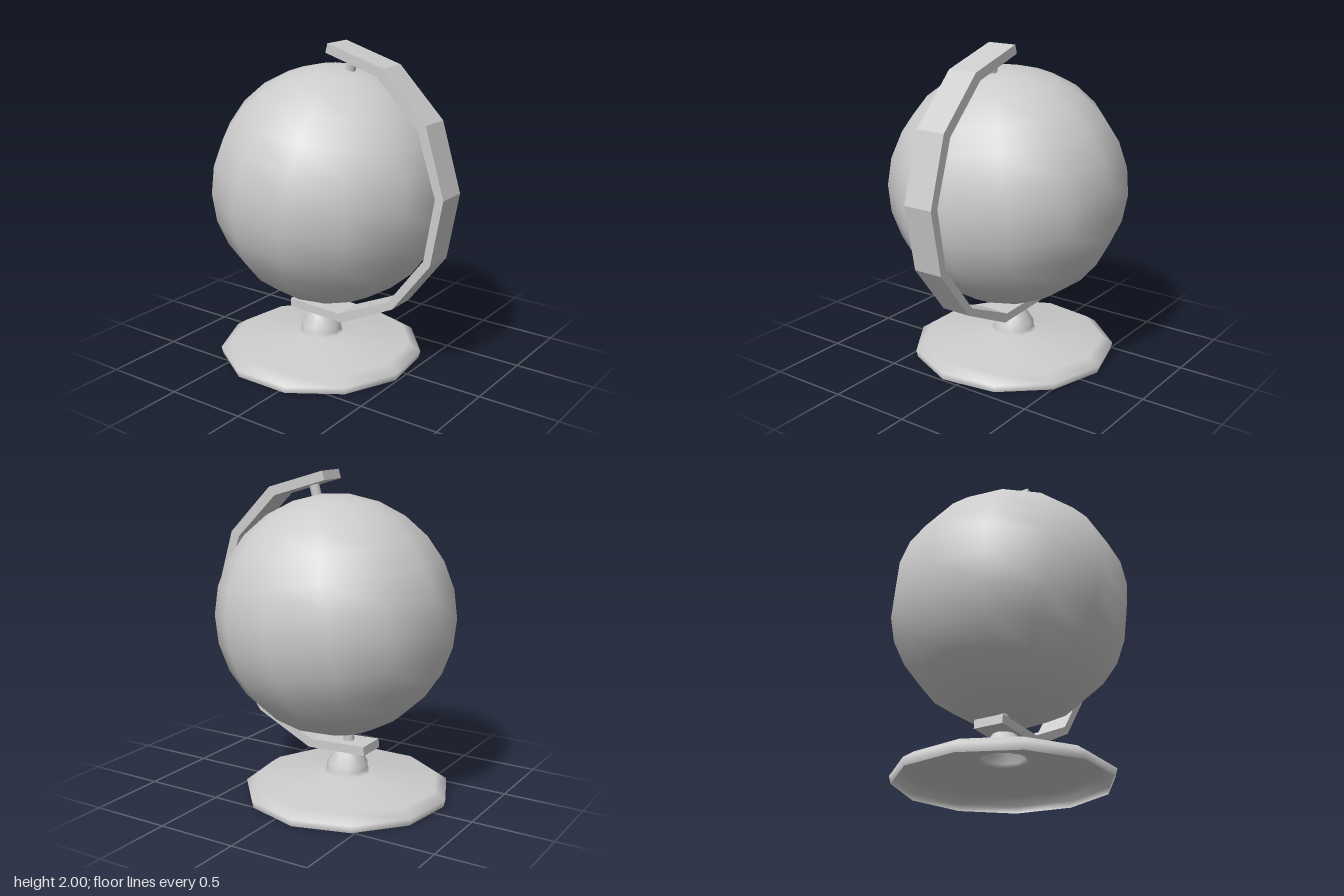
import * as THREE from 'three';

const AXIS_X = -0.024;

function part(name, geometry, options = {}) {
  const material = new THREE.MeshStandardMaterial({ color: 0xcccccc, ...options });
  const mesh = new THREE.Mesh(geometry, material);
  mesh.name = name;
  return mesh;
}

// Short peg between two [z, y] points in the middle plane
function pin(name, from, to, radius) {
  const a = new THREE.Vector3(AXIS_X, from[1], from[0]);
  const b = new THREE.Vector3(AXIS_X, to[1], to[0]);
  const dir = b.clone().sub(a);
  const mesh = part(name, new THREE.CylinderGeometry(radius, radius, dir.length(), 8));
  mesh.position.copy(a).add(b).multiplyScalar(0.5);
  mesh.quaternion.setFromUnitVectors(new THREE.Vector3(0, 1, 0), dir.normalize());
  return mesh;
}

export function createModel() {
  const model = new THREE.Group();
  model.name = 'deskGlobe';

  // Ball, tilted towards the front
  const ball = part('ball', new THREE.SphereGeometry(0.734, 13, 13).rotateY(Math.PI));
  ball.position.set(-0.013, 1.13, -0.057);
  ball.rotation.x = THREE.MathUtils.degToRad(8);
  model.add(ball);

  // Curved arm: side outline as [z, y], extruded across x
  const outer = [[-0.01, 2], [0.37, 1.89], [0.66, 1.6], [0.785, 1.19],
    [0.71, 0.785], [0.46, 0.46], [0.09, 0.28], [-0.31, 0.295]];
  const inner = [[-0.025, 1.945], [0.33, 1.84], [0.605, 1.57], [0.73, 1.19],
    [0.665, 0.81], [0.425, 0.495], [0.07, 0.335], [-0.305, 0.35]];
  const outline = [...outer, ...inner.reverse()].map(([z, y]) => new THREE.Vector2(z, y));
  const armGeometry = new THREE.ExtrudeGeometry(new THREE.Shape(outline), { depth: 0.19, bevelEnabled: false });
  armGeometry.rotateY(-Math.PI / 2).translate(0.07, 0, 0);
  model.add(part('arm', armGeometry, { flatShading: true }));

  // Pivot pins joining the arm to the ball
  model.add(pin('topPin', [0.108, 1.925], [0.08, 1.82], 0.031));
  model.add(pin('bottomPin', [-0.15, 0.32], [-0.143, 0.43], 0.034));

  // Hollow foot and neck, open underneath
  const profile = [[0.632, 0], [0.643, 0.045], [0.575, 0.09], [0.145, 0.14],
    [0.128, 0.16], [0.128, 0.2], [0.078, 0.28], [0.06, 0.31], [0, 0.315]];
  const footGeometry = new THREE.LatheGeometry(profile.map(([r, y]) => new THREE.Vector2(r, y)), 11);
  footGeometry.rotateY(Math.PI / 2);
  const foot = part('foot', footGeometry, { side: THREE.DoubleSide });
  foot.position.set(AXIS_X, 0, -0.137);
  model.add(foot);

  return model;
}
